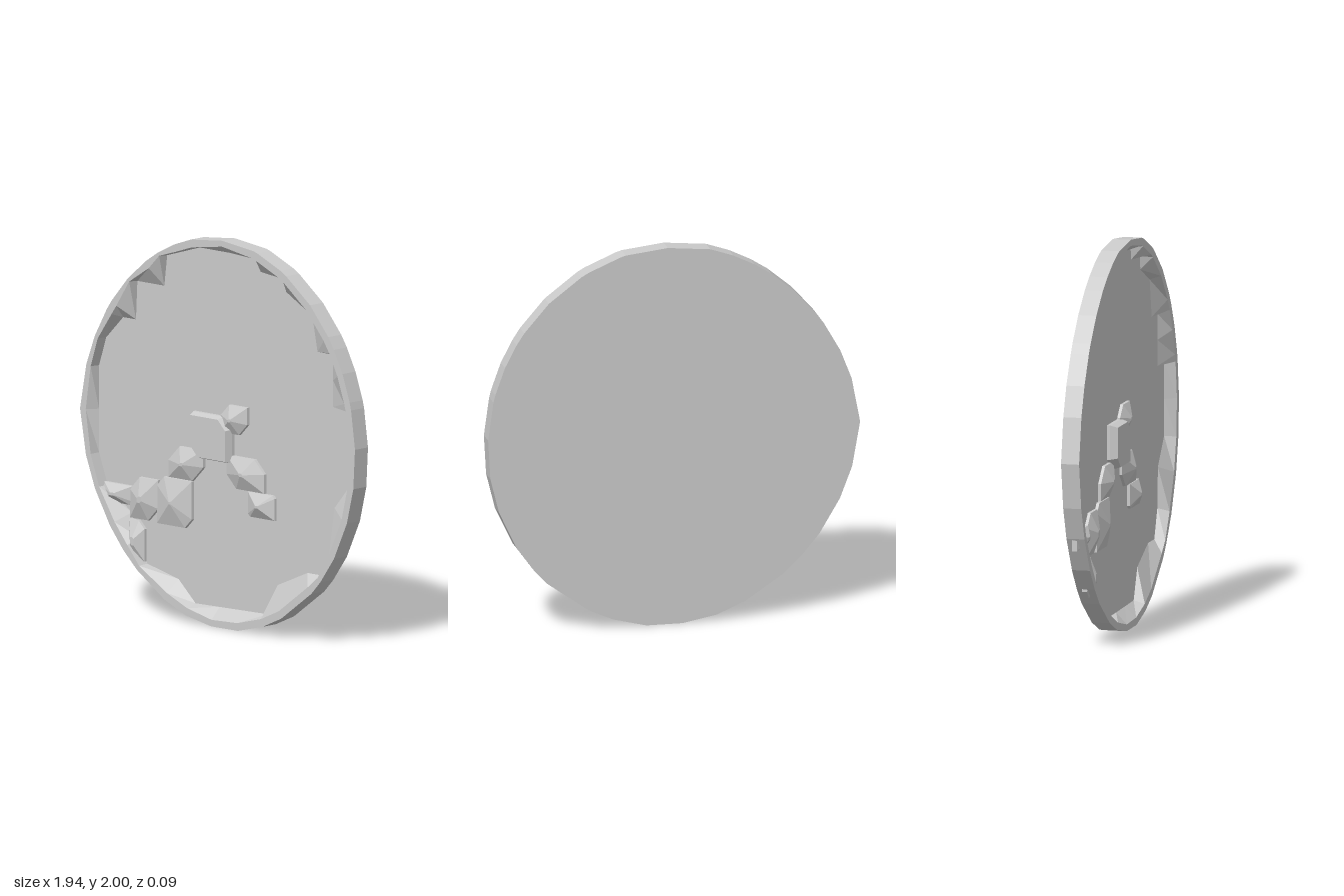
import * as THREE from 'three';

const BACK = -0.05, FRONT = 0.045, FLOOR = -0.012;
const material = new THREE.MeshStandardMaterial({ color: 0xcccccc, flatShading: true });

// Skin a stack of equally long counter-clockwise loops with quads.
function loft(name, loops) {
  const pos = [];
  for (let k = 0; k < loops.length - 1; k++) {
    const a = loops[k], b = loops[k + 1], n = a.length;
    for (let i = 0; i < n; i++) {
      const j = (i + 1) % n;
      pos.push(...a[i], ...a[j], ...b[j], ...a[i], ...b[j], ...b[i]);
    }
  }
  const g = new THREE.BufferGeometry();
  g.setAttribute('position', new THREE.Float32BufferAttribute(pos, 3));
  g.computeVertexNormals();
  const mesh = new THREE.Mesh(g, material);
  mesh.name = name;
  return mesh;
}

// Stepped edge of the recessed floor, counter-clockwise, one row per quarter.
const FLOOR_EDGE = [
  [[0.89, 1.23], [0.76, 1.23], [0.76, 1.5], [0.65, 1.5], [0.61, 1.7], [0.43, 1.78], [0.42, 1.85], [0.25, 1.86], [0.24, 1.93]],
  [[-0.18, 1.93], [-0.41, 1.86], [-0.43, 1.7], [-0.62, 1.7], [-0.63, 1.5], [-0.72, 1.5], [-0.84, 1.38], [-0.89, 1.23]],
  [[-0.89, 0.78], [-0.83, 0.62], [-0.66, 0.5], [-0.55, 0.25], [-0.33, 0.2], [-0.21, 0.09]],
  [[0.3, 0.1], [0.37, 0.26], [0.58, 0.35], [0.7, 0.35], [0.76, 0.5], [0.77, 0.71], [0.89, 0.85]],
].flat();

// Outline radius: flattened at top and bottom, slightly cut away on the -x diagonals.
const outlineRadius = t =>
  0.99 - 0.02 * Math.cos(2 * t) + 0.07 * Math.min(0, Math.cos(t)) * Math.abs(Math.sin(t));

function disc() {
  // Halve long edges so the outer rim stays round.
  const edge = FLOOR_EDGE.flatMap(([x, y], i) => {
    const [nx, ny] = FLOOR_EDGE[(i + 1) % FLOOR_EDGE.length];
    const parts = Math.ceil(Math.hypot(nx - x, ny - y) / 0.23);
    return Array.from({ length: parts }, (_, k) => [x + (nx - x) * k / parts, y + (ny - y) * k / parts]);
  });
  const ring = (z, radius) => edge.map(([x, y]) => {
    const t = Math.atan2(y - 1, x);
    const r = radius(Math.hypot(x, y - 1), outlineRadius(t));
    return [
      THREE.MathUtils.clamp(r * Math.cos(t), -0.97, 0.97),
      THREE.MathUtils.clamp(1 + r * Math.sin(t), 0, 2), z];
  });
  return loft('discWithRim', [
    ring(BACK, () => 0),                                           // back centre
    ring(BACK, (r, outer) => outer),                               // back edge
    ring(FRONT, (r, outer) => outer),                              // outer wall
    ring(FRONT, (r, outer) => Math.max(r + 0.005, outer - 0.04)),  // rim crest
    ring(FLOOR, r => r),                                           // sloped inner wall
    ring(FLOOR, () => 0),                                          // recessed floor
  ]);
}

// Faceted lump on the floor: a rectangle with two opposite corners cut off.
// inset 0 makes a pyramid, near 1 a flat-topped block; cut < 0 swaps the cut corners.
function lump(name, x, y, w, h, cut, inset) {
  const s = Math.sign(cut), c = Math.abs(cut), a = w / 2, b = h / 2;
  const half = [[a, -b], [a, b - c], [a - c, b]];
  const points = [...half, ...half.map(([px, py]) => [-px, -py])].map(([px, py]) => [s * px, py]);
  if (s < 0) points.reverse();
  const ring = (z, k) => points.map(([px, py]) => [x + px * k, y + py * k, z]);
  return loft(name, [
    ring(FLOOR - 0.01, 1),
    ring(FLOOR + 0.015, 0.98),
    ring(FLOOR + 0.052, inset),
    ring(FLOOR + 0.052, 0),
  ]);
}

export function createModel() {
  const model = new THREE.Group();
  model.name = 'reliefDisc';
  model.add(
    disc(),
    lump('upperLump', 0.075, 1.075, 0.19, 0.15, -0.06, 0.1),
    lump('centralBlock', -0.075, 0.965, 0.28, 0.24, 0.06, 0.88),
    lump('leftwardLump', -0.265, 0.805, 0.25, 0.17, -0.08, 0.1),
    lump('rightwardLump', 0.155, 0.805, 0.27, 0.17, 0.07, 0.1),
    lump('lowerLump', 0.267, 0.655, 0.19, 0.13, 0.015, 0.1),
    lump('broadMound', -0.345, 0.595, 0.25, 0.25, -0.05, 0.05),
    lump('linkLump', -0.56, 0.585, 0.2, 0.22, -0.07, 0.15),
    lump('rimLink', -0.75, 0.59, 0.22, 0.1, -0.02, 0.15),
    lump('lowerRimLump', -0.61, 0.365, 0.11, 0.21, 0.04, 0.2),
  );
  return model;
}
